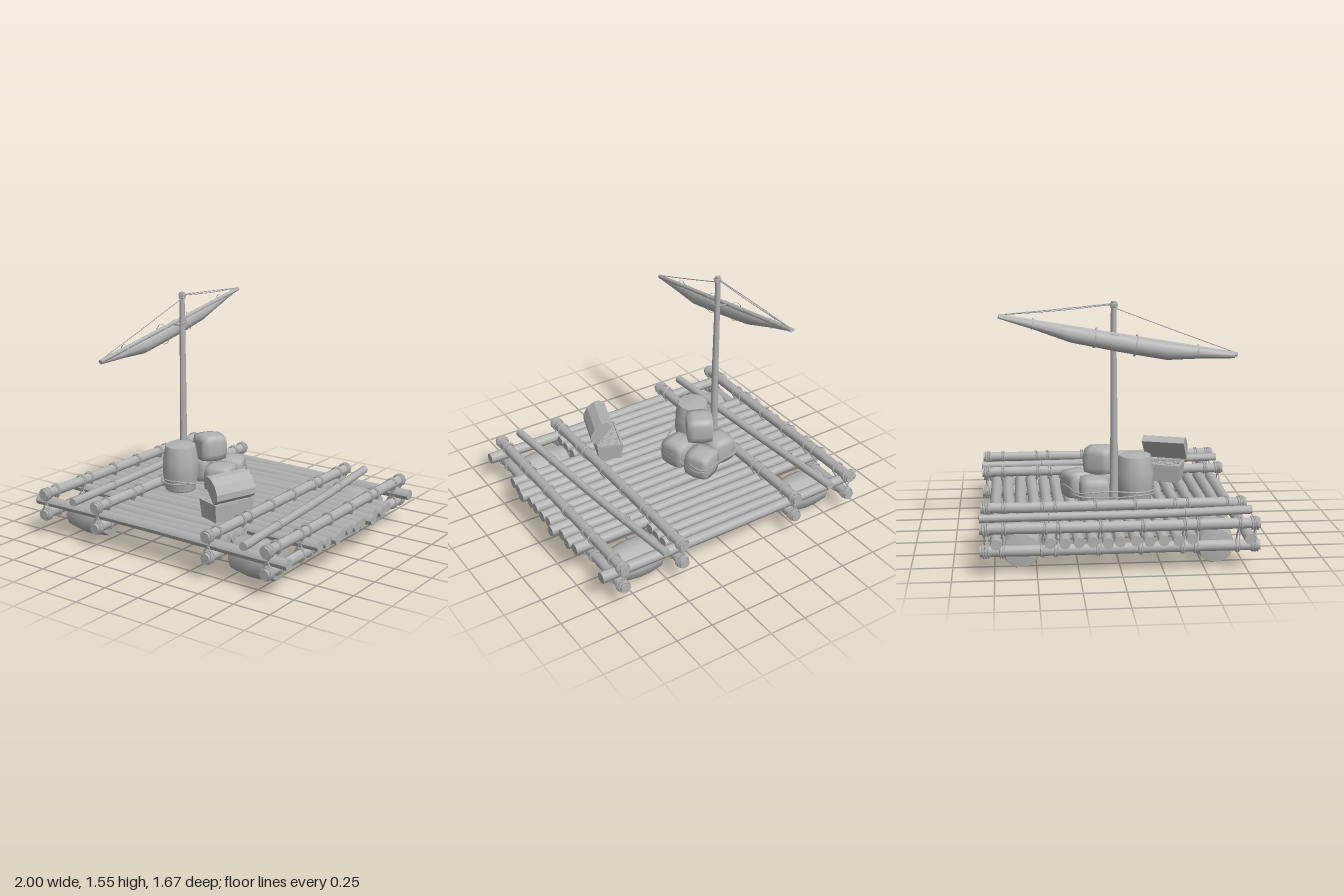
import * as THREE from 'three';
import { mergeVertices } from 'three/addons/utils/BufferGeometryUtils.js';

const V = (x, y, z) => new THREE.Vector3(x, y, z);

export function createModel() {
  const root = new THREE.Group();
  const grey = new THREE.MeshStandardMaterial({ color: 0xb2b2b2, side: THREE.DoubleSide });
  grey.name = 'plain grey';
  let seed = 7;
  const rnd = () => (seed = (seed * 16807) % 2147483647) / 2147483647;

  const add = (geo, name, parent = root) => {
    const m = new THREE.Mesh(geo, grey);
    m.name = name;
    parent.add(m);
    return m;
  };
  // move every vertex of a geometry by a rule
  const warp = (geo, rule) => {
    const p = geo.attributes.position, v = V(0, 0, 0);
    for (let i = 0; i < p.count; i++) {
      v.fromBufferAttribute(p, i);
      rule(v);
      p.setXYZ(i, v.x, v.y, v.z);
    }
    geo.computeVertexNormals();
    return geo;
  };
  // slightly crooked log between two points
  const log = (a, b, r0, r1, name, wobble = 0.004) => {
    const len = a.distanceTo(b), p1 = rnd() * 6, p2 = rnd() * 6;
    const geo = warp(new THREE.CylinderGeometry(r1, r0, len, 8, 6), (v) => {
      const t = v.y / len;
      v.x += Math.sin(t * 5 + p1) * wobble;
      v.z += Math.sin(t * 6 + p2) * wobble;
    });
    const m = add(geo, name);
    m.position.copy(a).lerp(b, 0.5);
    m.quaternion.setFromUnitVectors(V(0, 1, 0), b.clone().sub(a).normalize());
    return m;
  };
  const rope = (pts, name, closed = false, r = 0.005, tension = 0.5) =>
    add(new THREE.TubeGeometry(new THREE.CatmullRomCurve3(pts, closed, 'catmullrom', tension),
      pts.length * 5, r, 5, closed), name);
  // rope ring around an axis
  const ring = (pos, axis, radius, name, r = 0.006) => {
    const m = add(new THREE.TorusGeometry(radius, r, 5, 12), name);
    m.position.copy(pos);
    m.quaternion.setFromUnitVectors(V(0, 0, 1), axis.clone().normalize());
    return m;
  };
  const barrelGeo = (rEnd, rMid, len) => {
    const h = len / 2;
    const pts = [[0, -h], [rEnd * 0.95, -h * 0.96], [rEnd, -h * 0.9], [rMid, -h * 0.2],
      [rMid, h * 0.3], [rEnd, h * 0.9], [rEnd * 0.95, h * 0.96], [0, h]];
    return new THREE.LatheGeometry(pts.map(([x, y]) => new THREE.Vector2(x, y)), 10);
  };

  // deck logs: z, left end, right end
  const deck = [[-0.74, -0.995, 0.96], [-0.42, -0.995, 0.965], [-0.34, -0.985, 0.975], [-0.26, -0.995, 0.965],
    [-0.175, -0.975, 1], [-0.09, -1, 0.97], [-0.01, -0.98, 0.975], [0.075, -0.985, 0.975], [0.16, -0.985, 0.97],
    [0.245, -0.975, 0.99], [0.325, -0.995, 0.97], [0.41, -0.985, 0.965], [0.75, -0.995, 0.965]];
  for (const z of [-0.66, -0.58, -0.5, 0.5, 0.59, 0.67]) deck.push([z, -0.49, 0.47]);
  for (const [z, x0, x1] of deck) log(V(x0, 0.225, z), V(x1, 0.225, z), 0.034, 0.037, 'deckLog');

  // cross beams above and below the deck, lashed together
  for (const x of [-0.89, -0.45, 0.42, 0.845]) {
    for (const y of [0.155, 0.29]) {
      log(V(x, y, 0.83), V(x, y, -0.835), 0.034, 0.034, 'crossBeam', 0.002);
      for (const z of [-0.815, -0.8, -0.785, 0.78, 0.795, 0.81]) ring(V(x, y, z), V(0, 0.1, 1), 0.037, 'beamWrap');
    }
    for (const z of [-0.8, -0.7, -0.46, -0.38, -0.13, 0.12, 0.37, 0.45, 0.7, 0.8]) {
      const s = 0.008;
      rope([V(x, 0.33, z), V(x + 0.04, 0.295, z), V(x, 0.222, z + s), V(x - 0.04, 0.15, z),
        V(x, 0.115, z), V(x + 0.04, 0.15, z), V(x, 0.222, z - s), V(x - 0.04, 0.295, z)], 'beamLashing', true);
      ring(V(x, 0.29, z + 0.012), V(0.1, 0, 1), 0.037, 'beamWrap');
      ring(V(x, 0.155, z - 0.012), V(-0.1, 0, 1), 0.037, 'beamWrap');
    }
  }

  // loose poles lying on the deck
  for (const [x0, x1] of [[-0.715, -0.625], [0.555, 0.7]]) {
    const a = V(x0, 0.298, -0.84), b = V(x1, 0.292, 0.83);
    log(a, b, 0.026, 0.028, 'loosePole');
    for (const t of [0.25, 0.75]) ring(a.clone().lerp(b, t), b.clone().sub(a), 0.03, 'poleTie', 0.004);
  }

  // float barrels
  for (const x of [-0.67, 0.637]) for (const z of [-0.59, 0.578]) {
    const f = add(barrelGeo(0.11, 0.125, 0.32), 'floatBarrel');
    f.position.set(x, 0.132, z);
    f.rotation.z = Math.PI / 2;
  }

  // mast
  const mx = -0.37;
  log(V(mx, 0.2, 0), V(mx, 1.56, 0), 0.027, 0.017, 'mast', 0.002);
  for (const y of [1.525, 1.535, 1.545]) ring(V(mx, y, 0), V(0, 1, 0), 0.02, 'mastWrap', 0.005);

  // yard with furled sail
  const yardY = (z) => 1.23 + (0.75 - z) * 0.174, yx = -0.42;
  log(V(yx, yardY(0.76), 0.76), V(yx, yardY(-0.705), -0.705), 0.014, 0.014, 'yard', 0.001);
  const stations = [[0.74, 0.03, 0.015], [0.53, 0.065, 0.03], [0.32, 0.108, 0.043], [0.02, 0.105, 0.045],
    [-0.27, 0.095, 0.04], [-0.5, 0.05, 0.028], [-0.7, 0.02, 0.014]];
  const sailGeo = new THREE.CylinderGeometry(1, 1, 6, 8, 6);
  add(warp(sailGeo, (v) => {
    const [z, depth, half] = stations[Math.round(3 - v.y)];
    const cy = yardY(z) + 0.005 - depth / 2;
    v.set(yx - 0.013 + v.x * half, cy + v.z * depth / 2, z);
  }), 'furledSail');
  for (const [z, d] of [[0.51, 0.075], [0.13, 0.12], [-0.12, 0.11], [-0.5, 0.06]]) {
    const t = ring(V(yx - 0.01, yardY(z) + 0.018 - d / 2, z), V(0, -0.17, 1), 0.5, 'sailTie', 0.01);
    t.scale.set(d * 0.85, d * 1.15, 0.5);
  }
  ring(V(-0.395, yardY(0), 0), V(0, 1, 0.2), 0.048, 'yardLashing');

  // stays from the mast top to the yard ends
  rope([V(mx, 1.52, 0), V(-0.395, 1.38, 0.37), V(yx, yardY(0.73) + 0.014, 0.73)], 'stay', false, 0.003);
  rope([V(mx, 1.54, 0), V(-0.395, 1.508, -0.35), V(yx, 1.49, -0.69)], 'stay', false, 0.003);
  rope([V(mx, 1.545, 0), V(-0.4, 1.517, -0.35), V(yx, 1.492, -0.67)], 'stay', false, 0.003);

  // upright cask
  const cask = add(barrelGeo(0.104, 0.122, 0.32), 'cask');
  cask.position.set(-0.287, 0.422, 0.142);

  // bulging sacks
  const sack = (x, y, z, w, h, d, turn, tilt = 0) => {
    const geo = warp(new THREE.BoxGeometry(w, h, d, 4, 4, 4), (v) => {
      const a = (2 * v.x) / w, b = (2 * v.y) / h, c = (2 * v.z) / d;
      v.x *= 1 - 0.07 * b * b - 0.05 * c * c;
      v.z *= 1 - 0.07 * b * b - 0.05 * a * a;
      v.y *= 1 - 0.1 * (a * a + c * c);
    });
    geo.deleteAttribute('normal');
    geo.deleteAttribute('uv');
    const smooth = mergeVertices(geo);
    smooth.computeVertexNormals();
    const m = add(smooth, 'sack');
    m.position.set(x, y, z);
    m.rotation.set(0, turn, tilt);
  };
  sack(-0.31, 0.35, -0.12, 0.18, 0.18, 0.18, 0.05);
  sack(-0.125, 0.35, -0.21, 0.18, 0.18, 0.18, 0.45);
  sack(-0.075, 0.35, -0.015, 0.18, 0.18, 0.18, 0.25);
  sack(-0.2, 0.525, -0.07, 0.18, 0.18, 0.18, -0.5);

  // rope around the cargo
  for (const [y, s] of [[0.335, 0.012], [0.355, -0.01]]) {
    rope([V(-0.395, y, -0.22), V(-0.23, y + s, -0.27), V(-0.06, y, -0.305), V(-0.02, y - s, -0.13), V(0.02, y, 0.06),
      V(-0.1, y + s, 0.165), V(-0.24, y, 0.265), V(-0.36, y, 0.25), V(-0.412, y, 0.15), V(-0.405, y - s, -0.03)],
    'cargoRope', true, 0.005);
  }

  // treasure chest
  const chest = new THREE.Group();
  chest.name = 'chest';
  chest.position.set(0.26, 0.262, 0.38);
  chest.rotation.y = -0.34;
  root.add(chest);
  const W = 0.175, L = 0.29, H = 0.115;
  const taper = (v) => { if (v.y < 0) { v.x *= 0.9; v.z *= 0.94; } };
  add(warp(new THREE.BoxGeometry(W, H - 0.012, L), taper), 'chestBody', chest).position.y = (H - 0.012) / 2;
  for (const s of [-1, 1]) {
    add(new THREE.BoxGeometry(0.014, 0.016, L), 'chestRim', chest).position.set(s * (W / 2 - 0.007), H - 0.006, 0);
    add(new THREE.BoxGeometry(W, 0.016, 0.014), 'chestRim', chest).position.set(0, H - 0.006, s * (L / 2 - 0.007));
  }
  for (let i = 0; i < 60; i++) {
    const coin = add(new THREE.CylinderGeometry(0.009, 0.009, 0.004, 7), 'coin', chest);
    coin.position.set((rnd() - 0.5) * 0.13, H - 0.009 + rnd() * 0.008, (rnd() - 0.5) * 0.25);
    coin.rotation.set(rnd() - 0.5, 0, rnd() - 0.5);
  }
  // domed lid, hinged on the far long edge
  const lid = new THREE.Shape();
  lid.moveTo(0, 0);
  for (const [x, y] of [[0, 0.05], [-0.03, 0.075], [-0.087, 0.088], [-0.145, 0.075], [-W, 0.05], [-W, 0]]) lid.lineTo(x, y);
  const lidGeo = new THREE.ExtrudeGeometry(lid, { depth: L, bevelEnabled: false });
  lidGeo.translate(0, 0, -L / 2);
  const lidMesh = add(lidGeo, 'chestLid', chest);
  lidMesh.position.set(W / 2, H + 0.01, 0.015);
  lidMesh.rotation.z = -0.88;

  return root;
}
